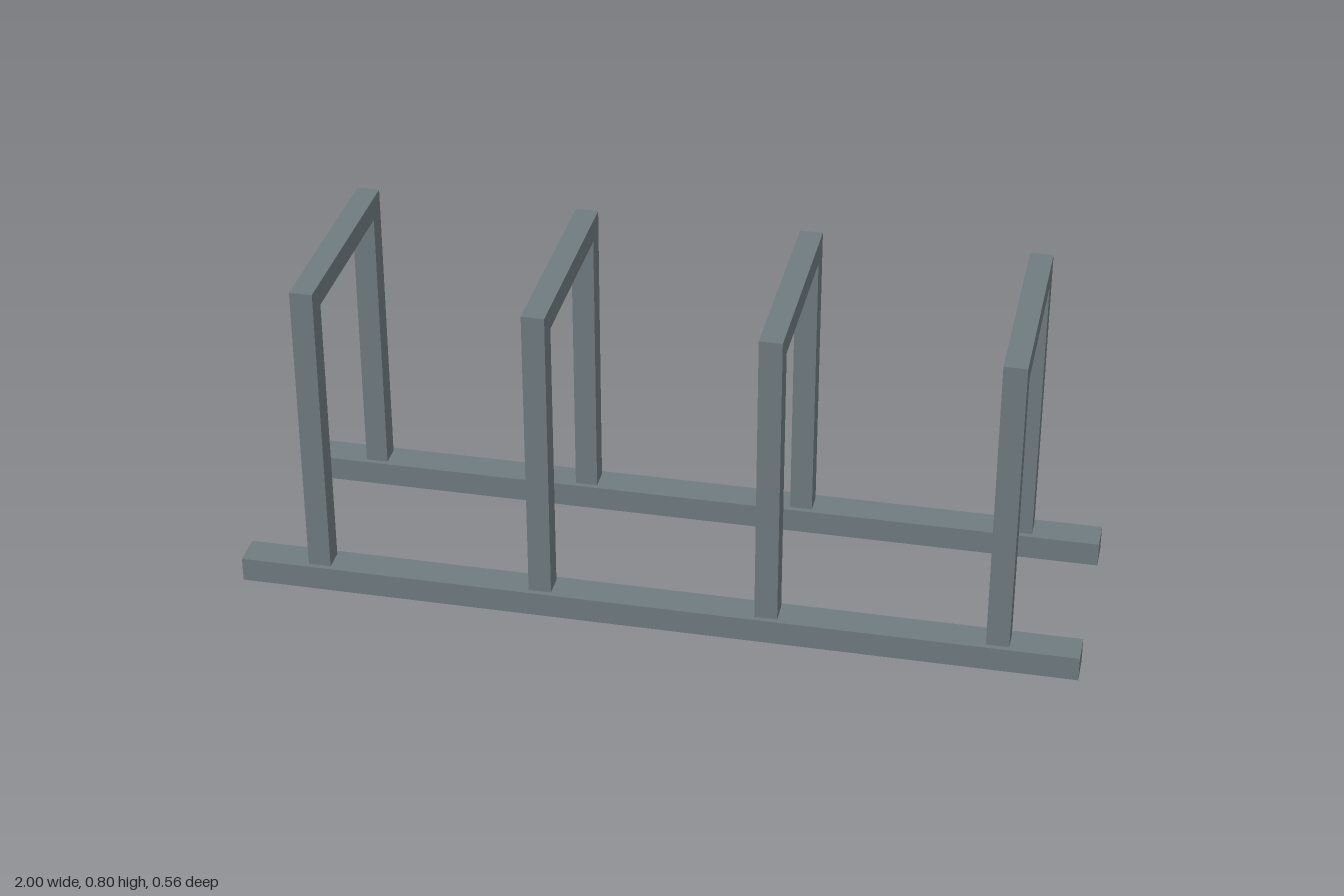
import * as THREE from 'three';

export function createModel() {
  const model = new THREE.Group();
  model.name = 'bikeRack';
  const steel = new THREE.MeshStandardMaterial({ color: 0x6f7b7f, flatShading: true });

  // Two ground rails running the full length
  const railGeometry = new THREE.BoxGeometry(2, 0.06, 0.08);
  for (const [name, side] of [['frontRail', 1], ['backRail', -1]]) {
    const rail = new THREE.Mesh(railGeometry, steel);
    rail.name = name;
    rail.position.set(0, 0.03, side * 0.24);
    model.add(rail);
  }

  // Square-tube hoop: an upside-down U extruded across its thickness
  const tube = 0.054, half = 0.267, top = 0.797, bottom = 0.06;
  const outline = new THREE.Shape([
    [-half, bottom], [-half + tube, bottom], [-half + tube, top - tube],
    [half - tube, top - tube], [half - tube, bottom], [half, bottom],
    [half, top], [-half, top],
  ].map(([x, y]) => new THREE.Vector2(x, y)));
  const hoopGeometry = new THREE.ExtrudeGeometry(outline, { depth: tube, bevelEnabled: false });
  hoopGeometry.translate(0, 0, -tube / 2).rotateY(Math.PI / 2);

  // Four evenly spaced hoops bridging the rails
  for (let i = 0; i < 4; i++) {
    const hoop = new THREE.Mesh(hoopGeometry, steel);
    hoop.name = `hoop${i + 1}`;
    hoop.position.x = (i - 1.5) * 0.54;
    model.add(hoop);
  }
  return model;
}
